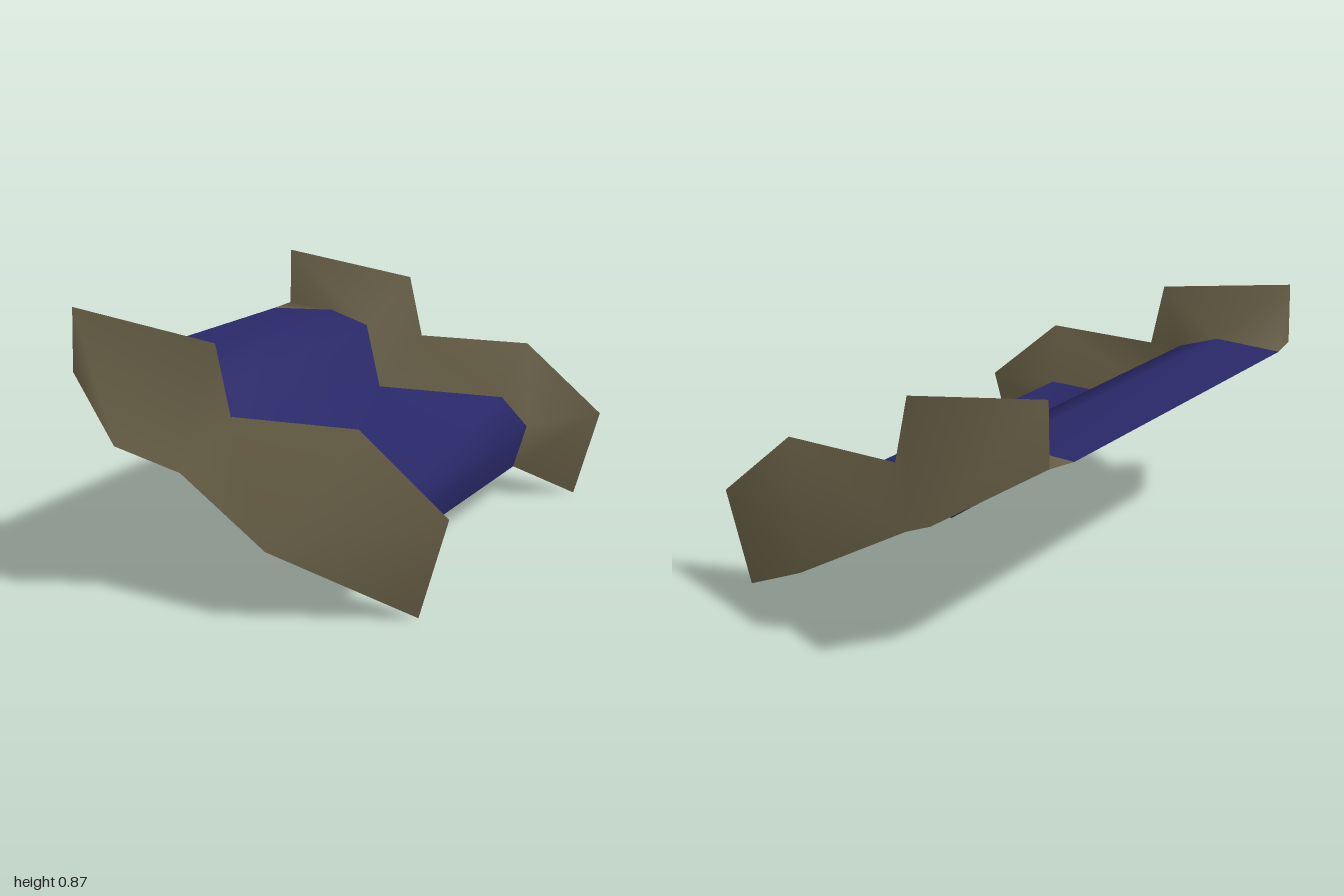
import * as THREE from 'three';
import { mergeVertices } from 'three/addons/utils/BufferGeometryUtils.js';

// Matching [x, y] sections, running from the high end to the low end
const RIDGE = [[-0.635, 0.66], [-0.63, 0.87], [-0.12, 0.79], [-0.07, 0.565], [0.36, 0.565], [0.65, 0.32], [0.555, 0.003]];
const TREAD = [[-0.65, 0.652], [-0.405, 0.66], [-0.255, 0.61], [-0.2, 0.373], [0.3, 0.373], [0.4, 0.27], [0.35, 0.11]];
// Outer lower edge [x, y, z]; repeated points close the flare into triangles
const P = [-0.36, 0.49, 1], Q = [-0.19, 0.4, 0.9], R = [0.15, 0.218, 1];
const FLARE = [P, P, Q, Q, R, R, R];
const RIDGE_Z = 0.79, TREAD_Z = 0.68;

const atZ = (section, z) => section.map(([x, y]) => [x, y, z]);
const mirror = (row) => row.map(([x, y, z]) => [x, y, -z]);

// Smooth sheet between two rows of points, dropping collapsed triangles
function loft(a, b) {
  const pos = [];
  const tri = (p, q, r) => {
    if (p !== q && q !== r && p !== r) pos.push(...p, ...q, ...r);
  };
  for (let i = 0; i < a.length - 1; i++) {
    tri(a[i], b[i], b[i + 1]);
    tri(a[i], b[i + 1], a[i + 1]);
  }
  const raw = new THREE.BufferGeometry();
  raw.setAttribute('position', new THREE.Float32BufferAttribute(pos, 3));
  const geo = mergeVertices(raw);
  geo.computeVertexNormals();
  return geo;
}

export function createModel() {
  const khaki = new THREE.MeshStandardMaterial({ name: 'khaki', color: 0x6b6248, side: THREE.DoubleSide });
  const navy = new THREE.MeshStandardMaterial({ name: 'navy', color: 0x292868, side: THREE.DoubleSide });
  const model = new THREE.Group();
  model.name = 'steppedSpan';

  const add = (parent, name, geo, mat) => {
    const mesh = new THREE.Mesh(geo, mat);
    mesh.name = name;
    parent.add(mesh);
  };

  // Stepped deck between the side rails
  add(model, 'deck', loft(atZ(TREAD, -TREAD_Z), atZ(TREAD, TREAD_Z)), navy);

  // Side rails: inner slope up to the ridge, outer flare down from it
  const ridge = atZ(RIDGE, RIDGE_Z), inner = atZ(TREAD, TREAD_Z);
  for (const front of [true, false]) {
    const rail = new THREE.Group();
    rail.name = front ? 'frontRail' : 'backRail';
    // mirrored points with swapped rows keep the faces outward
    const flareRows = front ? [ridge, FLARE] : [sharedMirror(FLARE), mirror(ridge)];
    const innerRows = front ? [inner, ridge] : [mirror(ridge), mirror(inner)];
    add(rail, 'outerFlare', loft(...flareRows), khaki);
    add(rail, 'innerSlope', loft(...innerRows), khaki);
    model.add(rail);
  }
  return model;
}

// Mirrors a row while keeping repeated points identical
function sharedMirror(row) {
  const seen = new Map();
  return row.map((p) => {
    if (!seen.has(p)) seen.set(p, [p[0], p[1], -p[2]]);
    return seen.get(p);
  });
}
